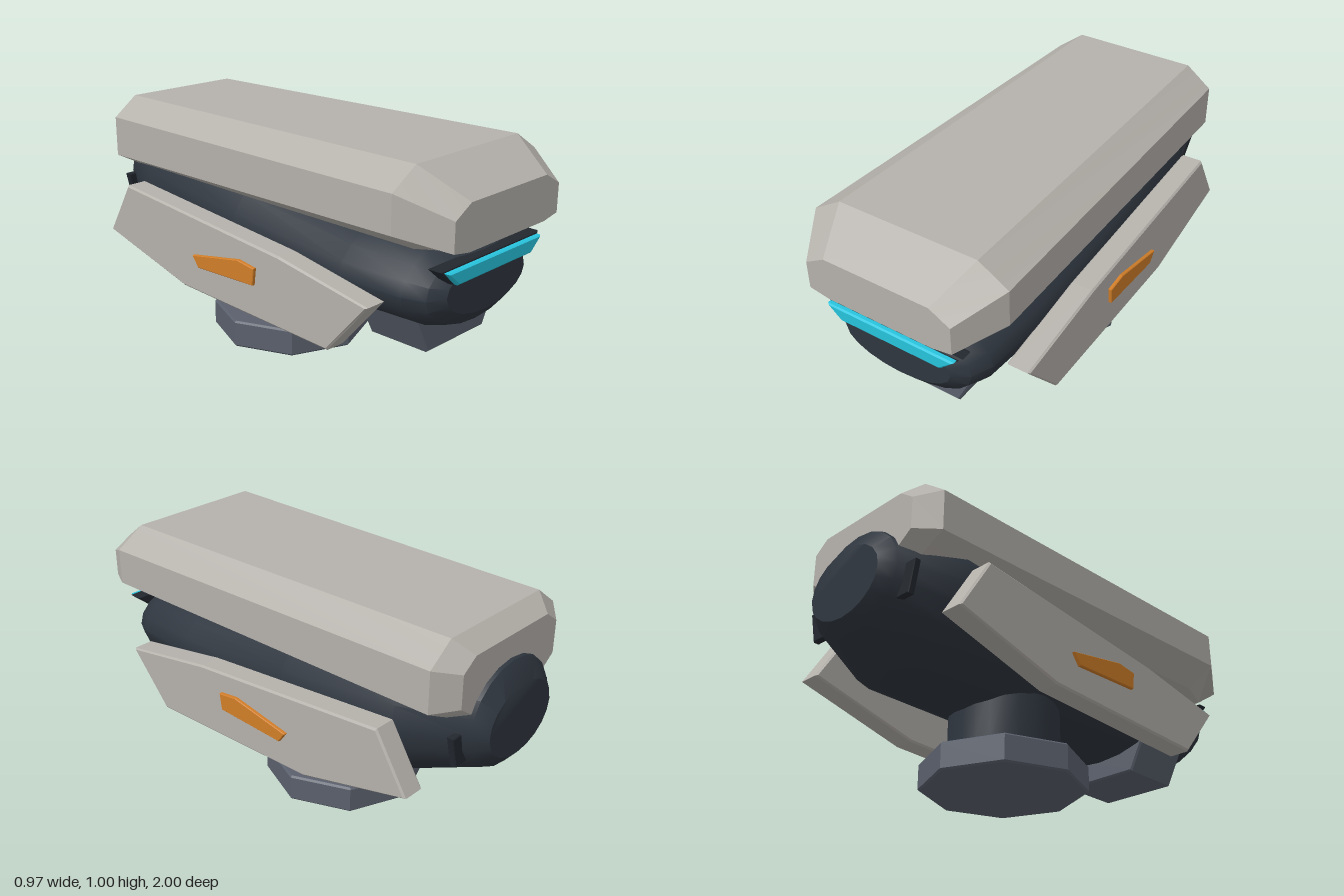
import * as THREE from 'three';
import { toCreasedNormals } from 'three/addons/utils/BufferGeometryUtils.js';

const mat = (name, color) => new THREE.MeshStandardMaterial({ name, color });

// Skins matching rings of [x, y, z] points, counter-clockwise from +z, ordered front to back
function loft(rings, crease) {
  const n = rings[0].length, pos = rings.flat(2), idx = [];
  for (let s = 0; s < rings.length - 1; s++) {
    for (let i = 0; i < n; i++) {
      const a = s * n + i, b = s * n + (i + 1) % n;
      idx.push(a, a + n, b, b, a + n, b + n);
    }
  }
  const last = (rings.length - 1) * n;
  for (let i = 1; i < n - 1; i++) {
    idx.push(0, i, i + 1, last, last + i + 1, last + i);
  }
  const g = new THREE.BufferGeometry();
  g.setAttribute('position', new THREE.Float32BufferAttribute(pos, 3));
  g.setIndex(idx);
  return toCreasedNormals(g, crease);
}

// Bevelled plate from an outline, filling 0..depth along z
function plate(points, depth, bevel = 0.008) {
  const g = new THREE.ExtrudeGeometry(new THREE.Shape(points.map(p => new THREE.Vector2(...p))), {
    depth: depth - 2 * bevel, bevelEnabled: true, bevelSize: bevel,
    bevelThickness: bevel, bevelOffset: -bevel, bevelSegments: 1,
  });
  return g.translate(0, 0, bevel);
}

// Symmetric trapezoid outline
const trapezoid = (top, yTop, bottom, yBottom) =>
  [[-bottom, yBottom], [bottom, yBottom], [top, yTop], [-top, yTop]];

// Octagonal ring: inner and outer half-widths, four heights from top to bottom
const octagon = ([z, xi, xo, y1, y2, y3, y4]) => [
  [xo, y3, z], [xo, y2, z], [xi, y1, z], [-xi, y1, z],
  [-xo, y2, z], [-xo, y3, z], [-xi, y4, z], [xi, y4, z],
];

const ellipse = ([z, cy, rx, ry]) => Array.from({ length: 20 }, (_, i) => {
  const a = i / 20 * Math.PI * 2;
  return [rx * Math.cos(a), cy + ry * Math.sin(a), z];
});

export function createModel() {
  const model = new THREE.Group();
  model.name = 'securityTurretHead';
  const shellGrey = mat('shellGrey', 0xb5b1ab);
  const darkBody = mat('darkBody', 0x2f363f);
  const slate = mat('slate', 0x5a606c);
  const darkTrim = mat('darkTrim', 0x23282f);
  const cyan = mat('cyan', 0x27c4dd);
  const orange = mat('orange', 0xd17e28);

  const add = (name, geometry, material, x = 0, y = 0, z = 0) => {
    const m = new THREE.Mesh(geometry, material);
    m.name = name;
    m.position.set(x, y, z);
    model.add(m);
    return m;
  };

  // Chamfered upper shell, tapering to the back
  add('upperShell', loft([
    [1.0, 0.24, 0.33, 0.885, 0.835, 0.715, 0.7],
    [0.81, 0.315, 0.445, 1.0, 0.92, 0.765, 0.685],
    [-0.86, 0.28, 0.394, 1.0, 0.915, 0.74, 0.68],
    [-0.936, 0.23, 0.3, 0.94, 0.89, 0.75, 0.7],
  ].map(octagon), 0.25), shellGrey);

  // Rounded inner body
  add('body', loft([
    [0.92, 0.5, 0.25, 0.11],
    [0.875, 0.495, 0.315, 0.16],
    [0.79, 0.5, 0.355, 0.19],
    [0.5, 0.505, 0.375, 0.2],
    [-0.1, 0.55, 0.378, 0.25],
    [-0.68, 0.595, 0.375, 0.305],
    [-0.95, 0.62, 0.25, 0.22],
    [-1.0, 0.61, 0.2, 0.15],
  ].map(ellipse), 0.6), darkBody);

  // Visor
  add('visorFrame', plate(trapezoid(0.32, 0.627, 0.235, 0.556), 0.06), darkTrim, 0, 0, 0.875);
  add('visorLens', plate(trapezoid(0.3, 0.62, 0.235, 0.56), 0.03), cyan, 0, 0, 0.93);

  // Chin bracket, neck and base
  add('chinBracket', plate(trapezoid(0.265, 0.39, 0.18, 0.22), 0.29), slate, 0, 0, 0.5);
  add('neck', toCreasedNormals(new THREE.CylinderGeometry(0.236, 0.236, 0.24, 24), 0.6), darkBody, 0, 0.24, -0.13);
  const base = new THREE.LatheGeometry([
    [0, 0], [0.343, 0], [0.351, 0.008], [0.351, 0.112], [0.343, 0.12], [0, 0.12],
  ].map(p => new THREE.Vector2(...p)), 8);
  add('base', toCreasedNormals(base, 0.3), slate, 0, 0, -0.13);

  // Side outlines as [-z, y]
  const panelOutline = [[-0.73, 0.475], [-0.53, 0.243], [0.32, 0.27], [0.835, 0.405], [0.69, 0.645], [-0.27, 0.555]];
  const badgeOutline = [[-0.145, 0.475], [-0.135, 0.4], [0.2, 0.387], [0.235, 0.435], [-0.05, 0.488]];
  const finOutline = [[0.2, 0.49], [0.285, 0.49], [0.315, 0.625], [0.2, 0.625]];
  for (const side of [1, -1]) {
    const label = side > 0 ? 'left' : 'right';
    const panel = plate(panelOutline, 0.103).rotateY(Math.PI / 2);
    add(label + 'SidePanel', panel, shellGrey, side > 0 ? 0.369 : -0.472);
    const accent = plate(badgeOutline, 0.022, 0.003).rotateY(Math.PI / 2);
    add(label + 'Accent', accent, orange, side > 0 ? 0.465 : -0.487);
    // Rear fin, mirrored by turning it half round
    const fin = plate(finOutline, 0.03, 0.004);
    if (side < 0) fin.rotateY(Math.PI).translate(0, 0, 0.03);
    add(label + 'RearFin', fin, darkTrim, 0, 0, -0.92);
  }
  return model;
}
